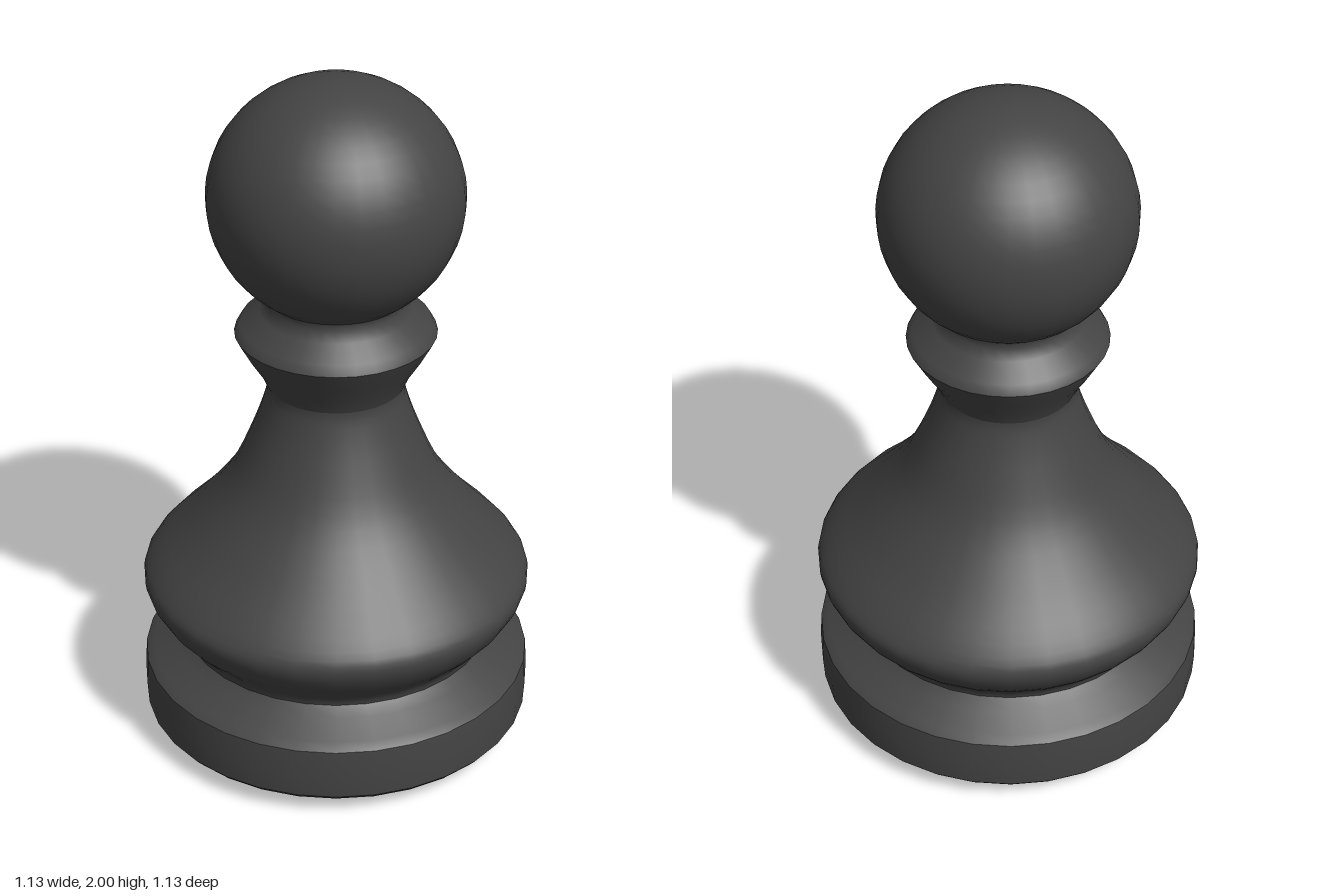
import * as THREE from 'three';

const SEGMENTS = 32;

// Smooth curve through [radius, height] points, sampled for the lathe
function smooth(points, samples) {
  const curve = new THREE.SplineCurve(points.map(([r, y]) => new THREE.Vector2(r, y)));
  return curve.getPoints(samples).map((p) => [p.x, p.y]);
}

export function createModel() {
  const model = new THREE.Group();
  model.name = 'pawn';
  const charcoal = new THREE.MeshStandardMaterial({ color: 0x444444 });
  charcoal.name = 'charcoal';

  // Each section is its own lathe, so the rims between them stay sharp
  function turn(name, profile) {
    const points = profile.map(([r, y]) => new THREE.Vector2(Math.max(r, 0), y));
    const mesh = new THREE.Mesh(new THREE.LatheGeometry(points, SEGMENTS), charcoal);
    mesh.name = name;
    model.add(mesh);
  }

  // Base: slightly pointed underside, chamfer, band and sloping top
  turn('baseUnderside', [[0, 0], [0.035, 0.018], [0.51, 0.037]]);
  turn('baseChamfer', [[0.51, 0.037], [0.55, 0.055], [0.563, 0.07]]);
  turn('baseBand', [[0.563, 0.07], [0.567, 0.14], [0.562, 0.222]]);
  turn('baseTop', [[0.562, 0.222], [0.54, 0.242], [0.475, 0.275], [0.447, 0.302]]);

  // Body: bulge sweeping up to the narrow neck
  turn('body', smooth([
    [0.447, 0.302], [0.462, 0.335], [0.525, 0.405], [0.56, 0.482], [0.53, 0.545],
    [0.42, 0.66], [0.308, 0.8], [0.238, 0.95], [0.2, 1.06], [0.195, 1.1],
  ], 32));

  // Collar: flares to a sharp rim, then slopes back in
  turn('collarUnderside', [[0.195, 1.1], [0.215, 1.145], [0.25, 1.2], [0.283, 1.26]]);
  turn('collarTop', [[0.283, 1.26], [0.268, 1.288], [0.213, 1.325], [0.194, 1.352], [0.2, 1.376]]);

  // Head: ball open at the bottom where it meets the collar
  const ball = [];
  const start = -0.97;
  for (let i = 0; i <= 20; i++) {
    const a = start + (Math.PI / 2 - start) * (i / 20);
    ball.push([0.354 * Math.cos(a), 1.663 + (a < 0 ? 0.348 : 0.337) * Math.sin(a)]);
  }
  turn('head', ball);

  return model;
}
